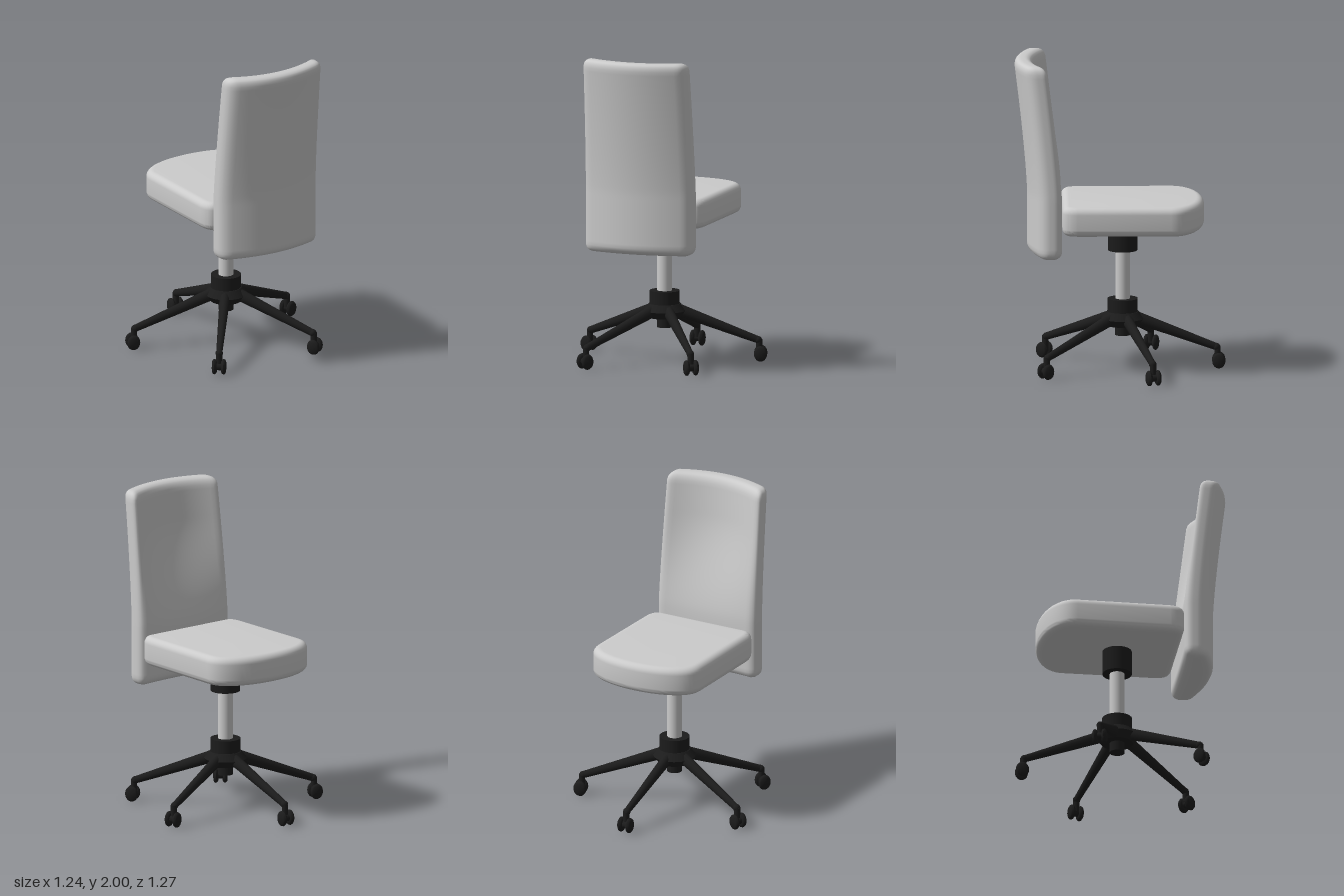
import * as THREE from 'three';
import { mergeVertices, toCreasedNormals } from 'three/addons/utils/BufferGeometryUtils.js';

const fabric = new THREE.MeshStandardMaterial({ color: 0xcccccc });
const black = new THREE.MeshStandardMaterial({ color: 0x1c1c1c });

function add(parent, name, geometry, material, x = 0, y = 0, z = 0) {
  const mesh = new THREE.Mesh(geometry, material);
  mesh.name = name;
  mesh.position.set(x, y, z);
  parent.add(mesh);
  return mesh;
}

// Finely divided box with rounded edges, bent by a rule and smoothly shaded
function softBox(w, h, d, r, segments, bend) {
  const geo = new THREE.BoxGeometry(w, h, d, ...segments);
  const pos = geo.attributes.position;
  const p = new THREE.Vector3(), core = new THREE.Vector3();
  const limit = new THREE.Vector3(w / 2 - r, h / 2 - r, d / 2 - r);
  for (let i = 0; i < pos.count; i++) {
    p.fromBufferAttribute(pos, i);
    core.copy(p).clamp(limit.clone().negate(), limit);
    p.sub(core);
    if (p.lengthSq() > 0) p.setLength(r);
    p.add(core);
    bend(p);
    pos.setXYZ(i, p.x, p.y, p.z);
  }
  geo.deleteAttribute('uv');
  geo.deleteAttribute('normal');
  const merged = mergeVertices(geo, 1e-5);
  merged.computeVertexNormals();
  return merged;
}

// Seat cushion: straight sides, bowed front edge, rounded rim
function seatGeometry() {
  const s = new THREE.Shape();
  s.moveTo(-0.3, 0.385);
  s.lineTo(0.3, 0.385);
  s.quadraticCurveTo(0.37, 0.385, 0.38, 0.29);
  s.lineTo(0.385, -0.3);
  s.bezierCurveTo(0.385, -0.44, 0.2, -0.512, 0, -0.512);
  s.bezierCurveTo(-0.2, -0.512, -0.385, -0.44, -0.385, -0.3);
  s.lineTo(-0.38, 0.29);
  s.quadraticCurveTo(-0.37, 0.385, -0.3, 0.385);
  const r = 0.045;
  const geo = new THREE.ExtrudeGeometry(s, {
    depth: 0.188 - 2 * r, bevelSize: r, bevelThickness: r, bevelOffset: -r,
    bevelSegments: 7, curveSegments: 16,
  });
  geo.rotateX(-Math.PI / 2);
  return toCreasedNormals(geo, 0.6);
}

// Backrest: upright below, leaning back above, hollow in front and bowed behind
function backGeometry() {
  const depth = 0.13, halfWidth = 0.36;
  return softBox(halfWidth * 2, 1.24, depth, 0.05, [32, 52, 10], (p) => {
    p.y += 1.38;
    const t = Math.max(0, (p.y - 1.15) / 0.85);
    const lean = 0.085 * Math.pow(t, 1.3);
    const bow = 1 - (p.x / halfWidth) ** 2;
    const hollow = 0.005 + 0.095 * THREE.MathUtils.smoothstep(p.y, 1.05, 1.75);
    const front = 0.385 + lean + hollow * bow;
    const rear = 0.515 + lean + 0.088 * bow;
    p.z = -THREE.MathUtils.lerp(front, rear, 0.5 - p.z / depth);
    p.x *= 1 - 0.04 * t;
  });
}

// One arm of the base, reaching along +x, with its twin-wheel caster
function makeLeg() {
  const leg = new THREE.Group();
  leg.name = 'baseLeg';
  const from = new THREE.Vector3(0.08, 0.328, 0), to = new THREE.Vector3(0.59, 0.136, 0);
  const mid = from.clone().add(to).multiplyScalar(0.5);
  const arm = add(leg, 'legArm', new THREE.CylinderGeometry(0.023, 0.04, from.distanceTo(to), 12),
    black, mid.x, mid.y, 0);
  arm.rotation.z = Math.atan2(to.y - from.y, to.x - from.x) - Math.PI / 2;
  arm.scale.z = 0.85;
  add(leg, 'legElbow', new THREE.SphereGeometry(0.024, 14, 10), black, to.x, to.y, 0);
  add(leg, 'casterStem', new THREE.CylinderGeometry(0.02, 0.02, 0.08, 12), black, 0.597, 0.1, 0);
  const axle = add(leg, 'casterAxle', new THREE.CylinderGeometry(0.024, 0.024, 0.07, 12), black, 0.605, 0.052, 0);
  axle.rotation.x = Math.PI / 2;

  // Wheel profile with rounded shoulders
  const profile = [[0, -0.015], [0.036, -0.015], [0.046, -0.009], [0.05, 0], [0.046, 0.009], [0.036, 0.015], [0, 0.015]]
    .map(([x, y]) => new THREE.Vector2(x, y));
  for (const side of [-1, 1]) {
    const wheel = add(leg, 'casterWheel', toCreasedNormals(new THREE.LatheGeometry(profile, 20), 0.7),
      black, 0.605, 0.051, side * 0.029);
    wheel.rotation.x = Math.PI / 2;
    wheel.scale.x = 0.84;
  }
  return leg;
}

export function createModel() {
  const chair = new THREE.Group();
  chair.name = 'officeChair';
  chair.position.set(0.018, 0, -0.05);

  // Swivelled upper half
  const upper = new THREE.Group();
  upper.name = 'swivelSeat';
  upper.rotation.y = THREE.MathUtils.degToRad(-151.3);
  chair.add(upper);
  add(upper, 'seat', seatGeometry(), fabric, -0.008, 0.96, 0);
  add(upper, 'backrest', backGeometry(), fabric, -0.004, 0, 0);

  // Central column and hub
  add(chair, 'seatSocket', new THREE.CylinderGeometry(0.093, 0.093, 0.16, 32), black, 0, 0.84, 0);
  add(chair, 'column', new THREE.CylinderGeometry(0.047, 0.047, 0.4, 32), fabric, 0, 0.6, 0);
  add(chair, 'hubCollar', new THREE.CylinderGeometry(0.095, 0.095, 0.1, 32), black, 0, 0.4, 0);
  add(chair, 'hub', new THREE.CylinderGeometry(0.1, 0.135, 0.045, 32), black, 0, 0.345, 0);
  add(chair, 'hubUnderside', new THREE.CylinderGeometry(0.135, 0.1, 0.045, 32), black, 0, 0.3, 0);
  add(chair, 'columnFoot', new THREE.CylinderGeometry(0.048, 0.048, 0.07, 24), black, 0, 0.25, 0);

  // Five legs
  for (let i = 0; i < 5; i++) {
    const leg = makeLeg();
    leg.rotation.y = -THREE.MathUtils.degToRad(25.4 + 72 * i);
    chair.add(leg);
  }

  const model = new THREE.Group();
  model.name = 'model';
  model.add(chair);
  return model;
}
